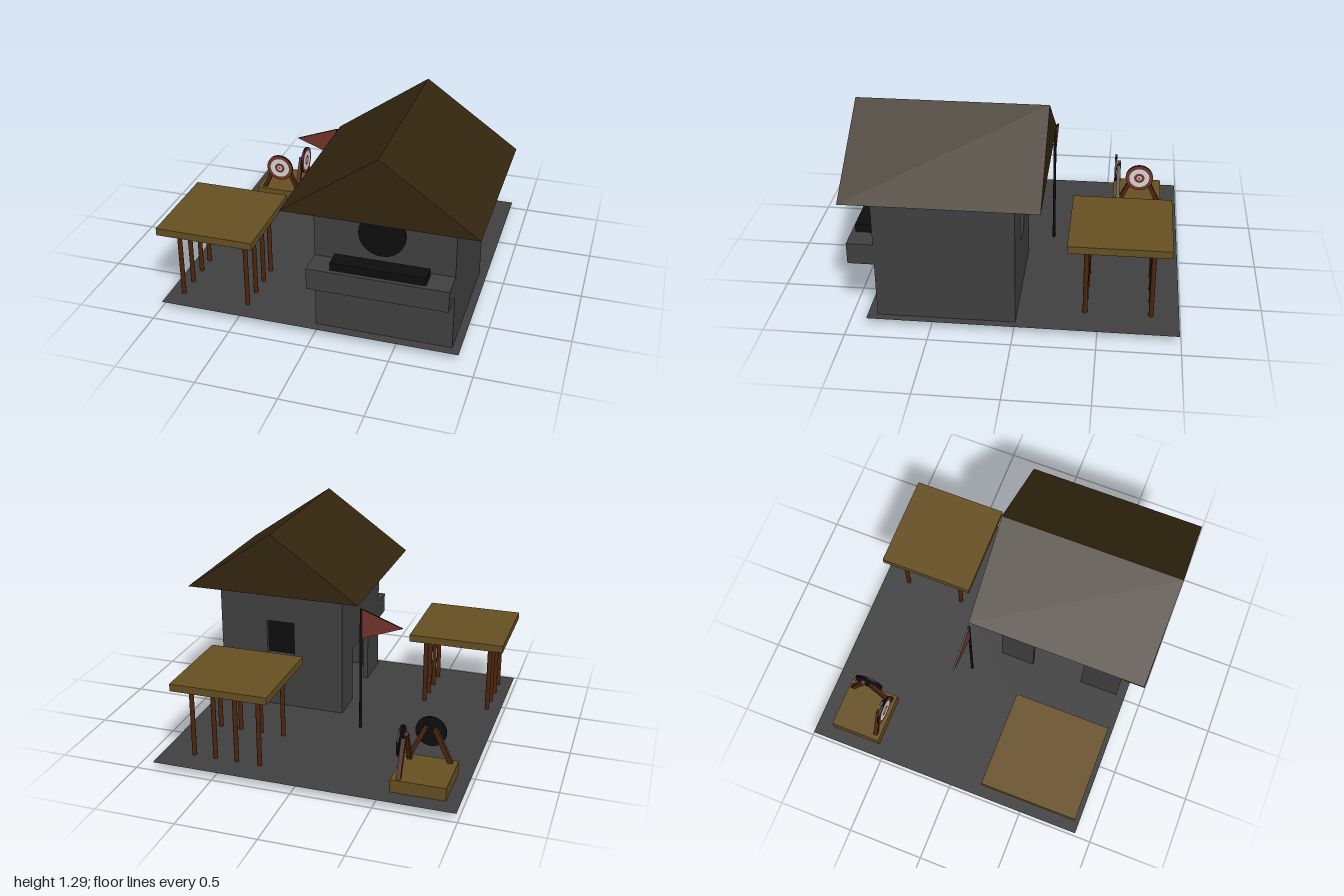
import * as THREE from 'three';

const mat = (name, color, side = THREE.FrontSide) => {
  const m = new THREE.MeshStandardMaterial({ color, side });
  m.name = name;
  return m;
};

export function createModel() {
  const root = new THREE.Group();
  root.name = 'rangeHut';

  const grey = mat('stone grey', 0x404040, THREE.DoubleSide);
  const tan = mat('tan wood', 0x674f22);
  const roofBrown = mat('dark roof brown', 0x34260f);
  const postBrown = mat('post brown', 0x4c250e);
  const black = mat('black', 0x0e0e0e);
  const red = mat('faded red', 0x73342b);
  const white = mat('off white', 0xd8d6d6);

  const add = (name, geo, material, x = 0, y = 0, z = 0, parent = root) => {
    const m = new THREE.Mesh(geo, material);
    m.name = name;
    m.position.set(x, y, z);
    parent.add(m);
    return m;
  };
  // Box given by its minimum and maximum corners
  const box = (name, a, b, material, parent = root) => add(name,
    new THREE.BoxGeometry(b[0] - a[0], b[1] - a[1], b[2] - a[2]), material,
    (a[0] + b[0]) / 2, (a[1] + b[1]) / 2, (a[2] + b[2]) / 2, parent);
  const poly = pts => new THREE.Shape(pts.map(p => new THREE.Vector2(p[0], p[1])));
  const extrude = (shape, depth) => new THREE.ExtrudeGeometry(shape, { depth, bevelEnabled: false });

  // Ground sheet
  add('ground', new THREE.PlaneGeometry(1.88, 1.88).rotateX(-Math.PI / 2), grey, -0.05, 0.05, -0.05);

  // House walls
  const house = new THREE.Group();
  house.name = 'house';
  root.add(house);
  const t = 0.03;
  box('frontWall', [0, 0.05, 0.83 - t], [0.84, 0.89, 0.83], grey, house);
  box('leftWall', [0.84 - t, 0.05, -0.01 + t], [0.84, 0.89, 0.83 - t], grey, house);

  // Back wall with a recessed window
  const back = poly([[0, 0.05], [0.84, 0.05], [0.84, 0.89], [0, 0.89]]);
  back.holes.push(poly([[0.33, 0.42], [0.33, 0.65], [0.52, 0.65], [0.52, 0.42]]));
  add('backWall', extrude(back, t), grey, 0, 0, -0.01, house);
  box('backWindow', [0.32, 0.41, 0.02], [0.53, 0.66, 0.028], black, house);

  // Side wall with an open doorway, drawn in z and turned to face -x
  const side = poly([[0.02, 0.05], [0.22, 0.05], [0.22, 0.42], [0.57, 0.42],
    [0.57, 0.05], [0.8, 0.05], [0.8, 0.89], [0.02, 0.89]]);
  add('doorWall', extrude(side, t).rotateY(-Math.PI / 2), grey, t, 0, 0, house);

  // Serving counter, black tray and round front window
  box('counter', [0, 0.405, 0.83], [0.84, 0.54, 0.99], grey, house);
  box('counterTray', [0.135, 0.54, 0.86], [0.7, 0.59, 0.965], black, house);
  add('roundWindow', new THREE.CylinderGeometry(0.139, 0.139, 0.02, 40).rotateX(Math.PI / 2),
    black, 0.41, 0.75, 0.838, house);

  // Gable roof
  add('roof', extrude(poly([[-0.155, 0.89], [0.995, 0.89], [0.42, 1.295]]), 1.15),
    roofBrown, 0, 0, -0.172, house);

  // Shelters: flat top on eight posts
  const shelter = (name, x0, z0, xs, zs) => {
    const g = new THREE.Group();
    g.name = name;
    root.add(g);
    box('shelterTop', [x0, 0.515, z0], [x0 + 0.617, 0.562, z0 + 0.617], tan, g);
    for (const x of xs) for (const z of zs)
      add('shelterPost', new THREE.CylinderGeometry(0.0145, 0.0145, 0.485, 12), postBrown, x, 0.2825, z, g);
  };
  shelter('frontShelter', -1, 0.243, [-0.9, -0.47], [0.355, 0.48, 0.615, 0.755]);
  shelter('backShelter', 0.162, -0.925, [0.26, 0.41, 0.55, 0.69], [-0.42, -0.82]);

  // Flag
  add('flagPole', new THREE.CylinderGeometry(0.009, 0.009, 0.865, 12), black, -0.174, 0.4375, -0.162);
  add('flag', extrude(poly([[-0.18, 0.675], [-0.18, 0.87], [-0.442, 0.772]]), 0.012),
    [red, black], 0, 0, -0.168);

  // Target base with a pale underside
  box('targetBase', [-0.905, 0.004, -0.88], [-0.572, 0.132, -0.545], tan);
  box('basePlate', [-0.885, 0, -0.86], [-0.592, 0.005, -0.565], white);

  // Targets: black disc with painted rings on two leaning legs, facing +z
  const rings = [[0.094, red], [0.07, white], [0.036, red], [0.018, white], [0.008, red]];
  const target = (name, x, z, turn) => {
    const g = new THREE.Group();
    g.name = name;
    g.position.set(x, 0, z);
    g.rotation.y = turn;
    root.add(g);
    add('targetDisc', new THREE.CylinderGeometry(0.095, 0.095, 0.014, 32).rotateX(Math.PI / 2),
      black, 0, 0.31, 0.022, g);
    rings.forEach(([r, m], i) => add('targetRing', new THREE.CircleGeometry(r, 32), m,
      0, 0.31, 0.0296 + i * 0.0008, g));
    for (const s of [-1, 1]) {
      const leg = add('targetLeg', new THREE.BoxGeometry(0.028, 0.26, 0.026), postBrown,
        s * 0.083, 0.225, 0, g);
      leg.rotation.z = s * 0.44;
    }
  };
  target('frontTarget', -0.732, -0.579, 0);
  target('sideTarget', -0.617, -0.725, Math.PI / 2);

  return root;
}
